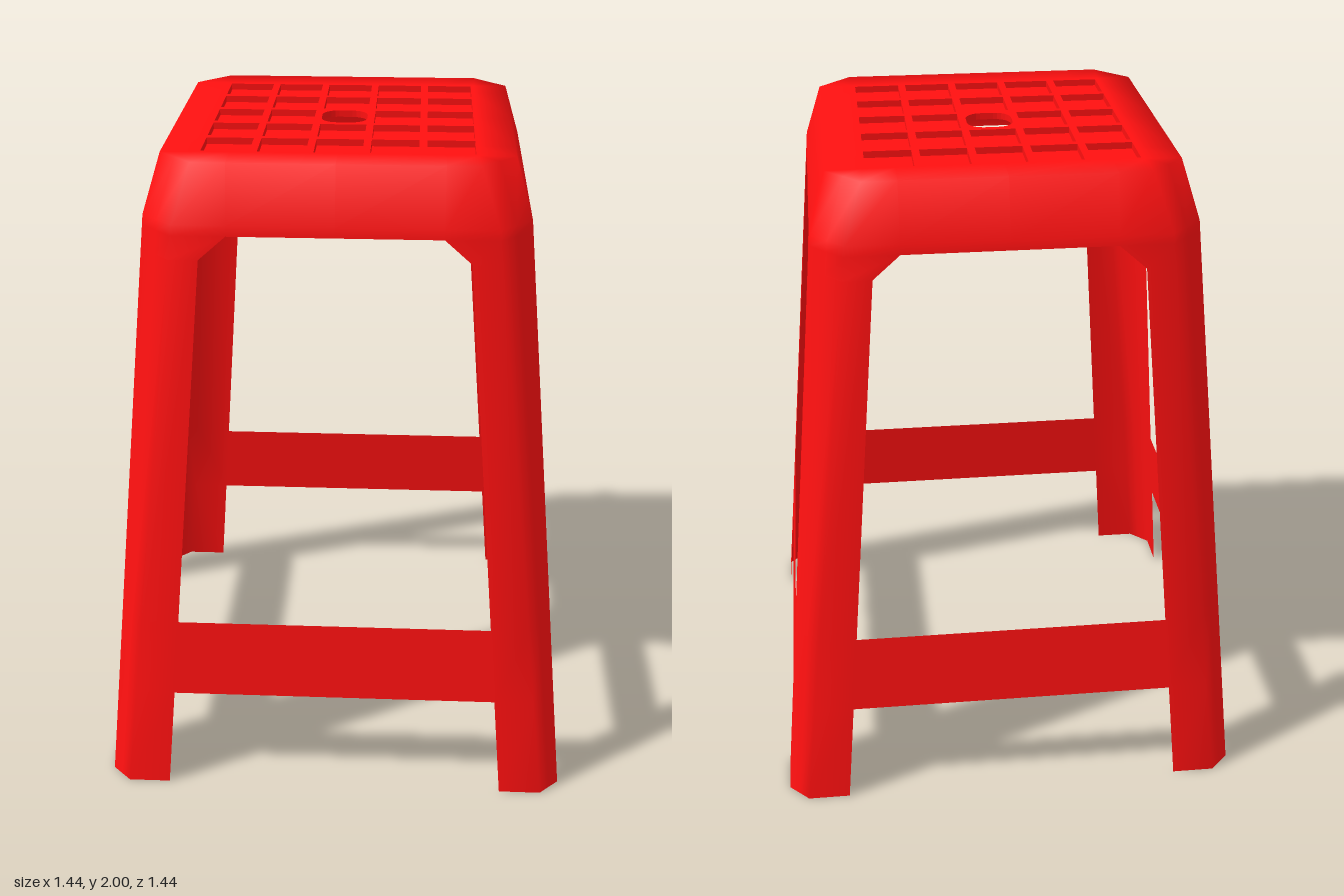
import * as THREE from 'three';
import { mergeVertices, mergeGeometries } from 'three/addons/utils/BufferGeometryUtils.js';

const TOP = 2, RIM = 1.83, GRID = 0.405;

// Half width of the tapering shell, and where its chamfered corner begins
const half = (y) => (y > RIM ? 0.51 : 0.72 - (0.16 * y) / RIM);
const corner = (y) => (y > RIM ? 0.41 : 0.66 - (0.195 * y) / RIM);
// Inner edge of a leg
const inner = (y) => 0.53 - (0.14 * y) / 1.73;

const onSide = (x, y) => [x, y, half(y)];
const atCorner = (y) => onSide(corner(y), y);
const onDiagonal = (y) => {
  const m = (half(y) + corner(y)) / 2;
  return [m, y, m];
};

// Surface from quads, with smooth normals where vertices are shared
function quadGeometry(quads) {
  const pos = [];
  for (const [a, b, c, d] of quads) pos.push(...a, ...b, ...c, ...a, ...c, ...d);
  const g = new THREE.BufferGeometry();
  g.setAttribute('position', new THREE.Float32BufferAttribute(pos, 3));
  const merged = mergeVertices(g, 1e-4);
  merged.computeVertexNormals();
  return merged;
}

// Repeat the half side, mirrored and turned about y, into all eight places
function eightfold(quads) {
  const out = [];
  for (let k = 0; k < 4; k++) {
    const c = Math.round(Math.cos((k * Math.PI) / 2));
    const s = Math.round(Math.sin((k * Math.PI) / 2));
    for (const m of [1, -1]) {
      for (const q of quads) {
        const r = q.map(([x, y, z]) => [c * m * x + s * z, y, -s * m * x + c * z]);
        out.push(m > 0 ? r : r.reverse());
      }
    }
  }
  return out;
}

function shellGeometry() {
  const quads = [];
  const band = (lo, hi, loXs, hiXs) => {
    const L = [...loXs.map((x) => onSide(x, lo)), atCorner(lo), onDiagonal(lo)];
    const H = [...hiXs.map((x) => onSide(x, hi)), atCorner(hi), onDiagonal(hi)];
    for (let i = 0; i + 1 < L.length; i++) quads.push([L[i], L[i + 1], H[i + 1], H[i]]);
  };
  // Flat border around the seat grid
  const rim = [onSide(0, TOP), onSide(0.31, TOP), atCorner(TOP), onDiagonal(TOP)];
  const grid = [[0, TOP, GRID], [0.31, TOP, GRID], [GRID, TOP, GRID], [GRID, TOP, GRID]];
  for (let i = 0; i < 3; i++) quads.push([rim[i], rim[i + 1], grid[i + 1], grid[i]]);
  // Skirt, with the bevelled upper corner of the opening
  band(RIM, TOP, [0, 0.31], [0, 0.31]);
  band(1.8, RIM, [0, 0.31], [0, 0.31]);
  band(1.73, 1.8, [inner(1.73)], [0.31]);
  // Legs
  const rows = [1.73, 0.575, 0.325, 0];
  for (let i = 0; i < 3; i++) band(rows[i + 1], rows[i], [inner(rows[i + 1])], [inner(rows[i])]);
  return quadGeometry(eightfold(quads));
}

// Outline of one grid cell; r rounds the corners
function cellOutline(cx, cy, h, r) {
  const pts = [];
  const steps = r > 0 ? 6 : 0;
  for (let k = 0; k < 4; k++) {
    const mid = Math.PI / 4 + (k * Math.PI) / 2;
    const ox = cx + Math.sign(Math.cos(mid)) * (h - r);
    const oy = cy + Math.sign(Math.sin(mid)) * (h - r);
    for (let i = 0; i <= steps; i++) {
      const a = (k + (steps ? i / steps : 0)) * (Math.PI / 2);
      pts.push(new THREE.Vector2(ox + r * Math.cos(a), oy + r * Math.sin(a)));
    }
  }
  return pts;
}

// Seat plate with 5 x 5 shallow recesses and a finger hole in the middle
function seatGeometry() {
  const depth = 0.02, pitch = 0.1625;
  const plate = new THREE.Shape(cellOutline(0, 0, GRID, 0));
  const parts = [];
  const flat = (shape, y) => {
    const g = new THREE.ShapeGeometry(shape).rotateX(-Math.PI / 2).translate(0, y, 0);
    g.deleteAttribute('uv');
    parts.push(g.toNonIndexed());
  };
  for (let i = -2; i <= 2; i++) {
    for (let j = -2; j <= 2; j++) {
      const isHole = i === 0 && j === 0;
      const pts = cellOutline(i * pitch, j * pitch, 0.07, isHole ? 0.05 : 0);
      plate.holes.push(new THREE.Path(pts));
      const walls = pts.map((p, n) => {
        const q = pts[(n + 1) % pts.length];
        return [
          [q.x, TOP - depth, -q.y], [p.x, TOP - depth, -p.y],
          [p.x, TOP, -p.y], [q.x, TOP, -q.y],
        ];
      });
      const wall = quadGeometry(walls).toNonIndexed();
      wall.computeVertexNormals();
      parts.push(wall);
      if (!isHole) flat(new THREE.Shape(pts), TOP - depth);
    }
  }
  flat(plate, TOP);
  return mergeGeometries(parts);
}

export function createModel() {
  const group = new THREE.Group();
  group.name = 'stool';
  const plastic = new THREE.MeshStandardMaterial({ color: 0xff1010, side: THREE.DoubleSide });
  const add = (name, geometry) => {
    const mesh = new THREE.Mesh(geometry, plastic);
    mesh.name = name;
    group.add(mesh);
    return mesh;
  };

  add('skirtAndLegs', shellGeometry());
  add('seatGrid', seatGeometry());

  // Thin stretchers flush with the leaning sides
  const lo = 0.325, hi = 0.575;
  const bar = quadGeometry([[
    onSide(-inner(lo), lo), onSide(inner(lo), lo),
    onSide(inner(hi), hi), onSide(-inner(hi), hi),
  ]]);
  ['front', 'left', 'back', 'right'].forEach((side, k) => {
    add(side + 'Stretcher', bar).rotation.y = (k * Math.PI) / 2;
  });
  return group;
}
